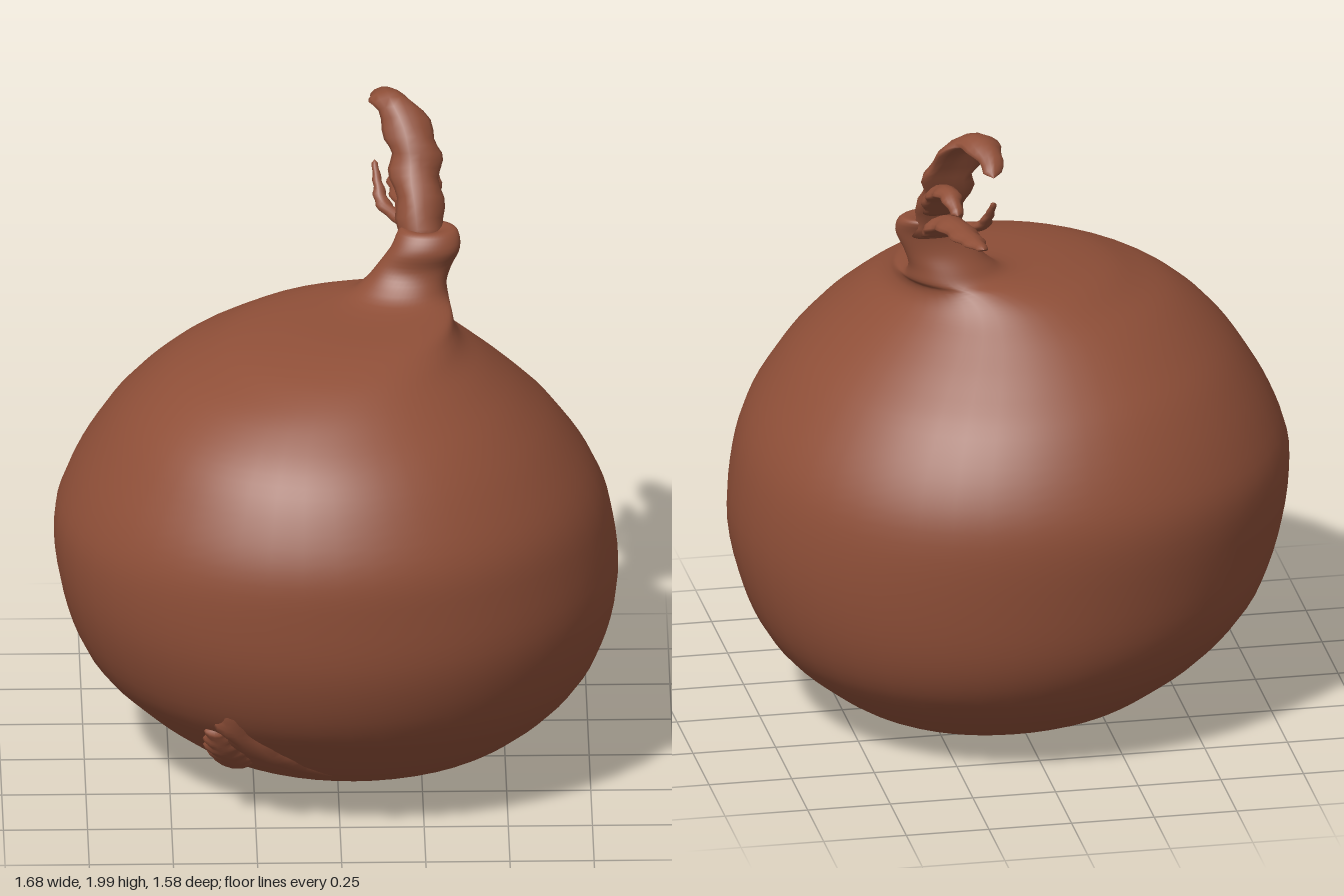
import * as THREE from 'three';

const skin = new THREE.MeshStandardMaterial({ color: 0x8f4f38 });
skin.name = 'onion skin';

// Joins closed rings of points into one smooth surface.
function skinRings(name, rings) {
  const n = rings[0].length, index = [];
  for (let i = 0; i < rings.length - 1; i++) {
    for (let j = 0; j < n; j++) {
      const a = i * n + j, b = i * n + (j + 1) % n;
      index.push(a, a + n, b, b, a + n, b + n);
    }
  }
  const geo = new THREE.BufferGeometry().setFromPoints(rings.flat());
  geo.setIndex(index);
  geo.computeVertexNormals();
  const mesh = new THREE.Mesh(geo, skin);
  mesh.name = name;
  return mesh;
}

const spline = (pts) => new THREE.CatmullRomCurve3(pts, false, 'catmullrom', 0.5);

// Bulb and neck from horizontal slices: [y, left x, right x, back z, front z]
function bulb(slices, sides = 48, steps = 80) {
  const mid = spline(slices.map(([y, a, b, c, d]) => new THREE.Vector3((a + b) / 2, y, (c + d) / 2)));
  const rad = spline(slices.map(([, a, b, c, d]) => new THREE.Vector3((b - a) / 2, 0, (d - c) / 2)));
  const rings = [];
  for (let i = 0; i <= steps; i++) {
    const m = mid.getPoint(i / steps), r = rad.getPoint(i / steps), ring = [];
    for (let j = 0; j < sides; j++) {
      const a = j / sides * Math.PI * 2;
      ring.push(new THREE.Vector3(m.x + r.x * Math.cos(a), Math.max(0, m.y), m.z + r.z * Math.sin(a)));
    }
    rings.push(ring);
  }
  return skinRings('bulb', rings);
}

// Withered leaf along a path of [x, y, z, half width, half thickness];
// the edges curl under and waver slightly.
function leaf(name, path, curl = 0.3, waver = 0.12, sides = 14, steps = 24) {
  const line = spline(path.map((p) => new THREE.Vector3(p[0], p[1], p[2])));
  const size = spline(path.map((p) => new THREE.Vector3(p[3], p[4], 0)));
  const X = new THREE.Vector3(1, 0, 0), rings = [];
  for (let i = 0; i <= steps; i++) {
    const t = i / steps, c = line.getPoint(t), s = size.getPoint(t);
    const N = X.clone().cross(line.getTangent(t)).normalize();
    const end = i === 0 || i === steps ? 0 : 1;
    const ring = [];
    for (let j = 0; j < sides; j++) {
      const a = j / sides * Math.PI * 2, u = Math.cos(a);
      const w = s.x * u * (1 + waver * Math.sin(i * 1.3 + 2 * u)) * end;
      const h = (s.y * Math.sin(a) - curl * s.x * u * u) * end;
      ring.push(c.clone().addScaledVector(X, w).addScaledVector(N, h));
    }
    rings.push(ring);
  }
  return skinRings(name, rings);
}

export function createModel() {
  const model = new THREE.Group();
  model.name = 'onion';

  model.add(bulb([
    [0.008, 0.05, 0.05, -0.06, -0.06],
    [0.008, -0.15, 0.3, -0.25, 0.12],
    [0.045, -0.335, 0.43, -0.38, 0.25],
    [0.125, -0.47, 0.565, -0.52, 0.42],
    [0.25, -0.625, 0.705, -0.66, 0.57],
    [0.4, -0.75, 0.79, -0.74, 0.7],
    [0.6, -0.82, 0.835, -0.775, 0.78],
    [0.8, -0.84, 0.82, -0.785, 0.797],
    [0.95, -0.795, 0.77, -0.745, 0.785],
    [1.1, -0.71, 0.67, -0.66, 0.72],
    [1.21, -0.62, 0.565, -0.56, 0.64],
    [1.3, -0.51, 0.46, -0.465, 0.53],
    [1.36, -0.39, 0.385, -0.395, 0.43],
    [1.4, -0.29, 0.355, -0.345, 0.33],
    [1.43, -0.15, 0.345, -0.3, 0.2],
    [1.45, 0.02, 0.335, -0.27, 0.0],
    [1.49, 0.085, 0.33, -0.25, -0.07],
    [1.54, 0.125, 0.345, -0.23, -0.1],
    [1.6, 0.165, 0.37, -0.225, -0.095],
    [1.65, 0.195, 0.355, -0.24, -0.125],
    [1.64, 0.26, 0.28, -0.19, -0.17],
  ]));

  // Dried leaves bending backwards out of the neck
  model.add(leaf('mainLeaf', [
    [0.27, 1.58, -0.17, 0.07, 0.05], [0.25, 1.7, -0.22, 0.07, 0.045],
    [0.24, 1.8, -0.28, 0.075, 0.035], [0.23, 1.88, -0.32, 0.075, 0.03],
    [0.18, 1.97, -0.39, 0.065, 0.02], [0.15, 1.96, -0.48, 0.045, 0.015],
    [0.15, 1.91, -0.56, 0.02, 0.01],
  ]));
  model.add(leaf('middleLeaf', [
    [0.26, 1.7, -0.23, 0.05, 0.04], [0.27, 1.78, -0.33, 0.045, 0.025],
    [0.26, 1.82, -0.43, 0.035, 0.015], [0.25, 1.78, -0.52, 0.015, 0.01],
  ]));
  model.add(leaf('lowerLeaf', [
    [0.26, 1.62, -0.2, 0.06, 0.035], [0.23, 1.67, -0.3, 0.05, 0.02],
    [0.2, 1.68, -0.45, 0.04, 0.015], [0.18, 1.685, -0.565, 0.012, 0.008],
  ]));
  model.add(leaf('leafShred', [
    [0.23, 1.63, -0.24, 0.03, 0.02], [0.15, 1.66, -0.32, 0.025, 0.015],
    [0.13, 1.71, -0.37, 0.015, 0.012], [0.12, 1.77, -0.41, 0.008, 0.006],
  ], 0.1));

  // Wrinkled peeling skin low on the front
  model.add(leaf('skinWrinkle', [
    [0.01, 0.15, 0.43, 0.03, 0.015], [-0.1, 0.2, 0.475, 0.07, 0.025],
    [-0.22, 0.28, 0.545, 0.09, 0.03], [-0.3, 0.38, 0.6, 0.07, 0.025],
    [-0.3, 0.47, 0.645, 0.03, 0.01],
  ], 0.25));
  model.add(leaf('skinFlap', [
    [-0.3, 0.17, 0.41, 0.06, 0.015], [-0.34, 0.26, 0.49, 0.06, 0.025],
    [-0.37, 0.35, 0.55, 0.03, 0.015],
  ], 0.25));

  return model;
}
